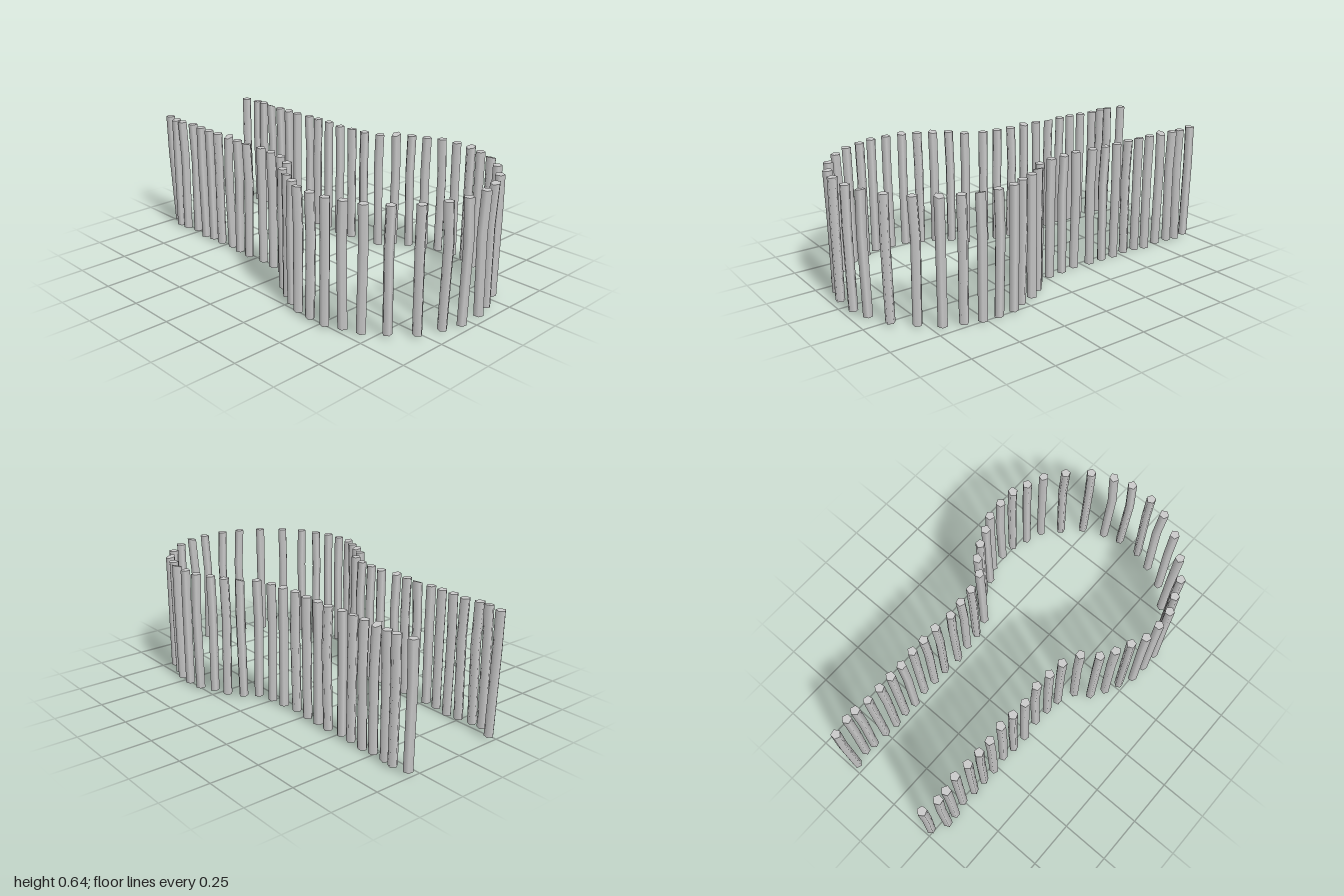
import * as THREE from 'three';

// rows of posts from back to front: z, x on the right side, x on the left side
const ROWS = [
  [-0.97, -0.255, 0.29], [-0.885, -0.275, 0.303], [-0.83, -0.275, 0.303], [-0.755, -0.26, 0.293],
  [-0.675, -0.267, 0.293], [-0.6, -0.27, 0.293], [-0.525, -0.27, 0.293], [-0.44, -0.262, 0.302],
  [-0.362, -0.27, 0.3], [-0.28, -0.275, 0.3], [-0.182, -0.262, 0.288], [-0.098, -0.27, 0.298],
  [-0.015, -0.28, 0.305], [0.075, -0.32, 0.33], [0.13, -0.393, 0.393], [0.2, -0.435, 0.435],
  [0.277, -0.468, 0.468], [0.35, -0.503, 0.503], [0.44, -0.51, 0.51], [0.53, -0.505, 0.505],
  [0.61, -0.475, 0.478], [0.7, -0.442, 0.442], [0.79, -0.37, 0.37], [0.877, -0.27, 0.272],
  [0.932, -0.16, 0.165], [0.958, -0.057, 0.067],
];
// sideways bow of the posts that stand free at the front
const FRONT_BOW = { '24,1': 0.012, '24,2': -0.013, '25,1': 0.007, '25,2': -0.012 };

const material = new THREE.MeshStandardMaterial({ color: 0xcccccc });

function seeded(seed) {
  return () => {
    seed = (seed * 16807) % 2147483647;
    return seed / 2147483647;
  };
}

// five-sided stake, slightly bowed, with a leaning foot and an uneven top
function makePost(x, z, { bottom, bowX, bowZ, leanX, leanZ, turn, tilt }) {
  const top = 0.628;
  const h = top - bottom;
  const geo = new THREE.CylinderGeometry(0.025, 0.024, h, 5, 3);
  geo.rotateY(turn);
  geo.translate(0, bottom + h / 2, 0);
  const p = geo.attributes.position;
  for (let i = 0; i < p.count; i++) {
    const px = p.getX(i), y = p.getY(i), pz = p.getZ(i);
    const t = (y - bottom) / h;
    const bow = t < 0.68 ? t / 0.68 : Math.max(0, (1 - t) / 0.32);
    const rise = t > 0.99 ? tilt * px : 0;
    p.setXYZ(i, px + bowX * bow + leanX * (1 - t), y + rise, pz + bowZ * bow + leanZ * (1 - t));
  }
  geo.computeBoundingSphere();
  const post = new THREE.Mesh(geo, material);
  post.position.set(x, 0, z);
  return post;
}

export function createModel() {
  const fence = new THREE.Group();
  fence.name = 'palisadeFence';
  const rand = seeded(4711);
  const jitter = (s) => (rand() - 0.5) * 2 * s;

  for (const side of [1, 2]) {
    const row = new THREE.Group();
    row.name = side === 1 ? 'rightPosts' : 'leftPosts';
    ROWS.forEach((r, i) => {
      const post = makePost(r[side], r[0], {
        bottom: i === 4 ? 0 : 0.01,
        bowX: FRONT_BOW[`${i},${side}`] ?? jitter(0.007),
        bowZ: jitter(0.006),
        leanX: i === 0 && side === 1 ? 0.02 : jitter(0.004),
        leanZ: jitter(0.005),
        turn: rand() * Math.PI * 2,
        tilt: rand() > 0.6 ? jitter(0.4) : 0,
      });
      post.name = 'post';
      row.add(post);
    });
    fence.add(row);
  }
  return fence;
}
